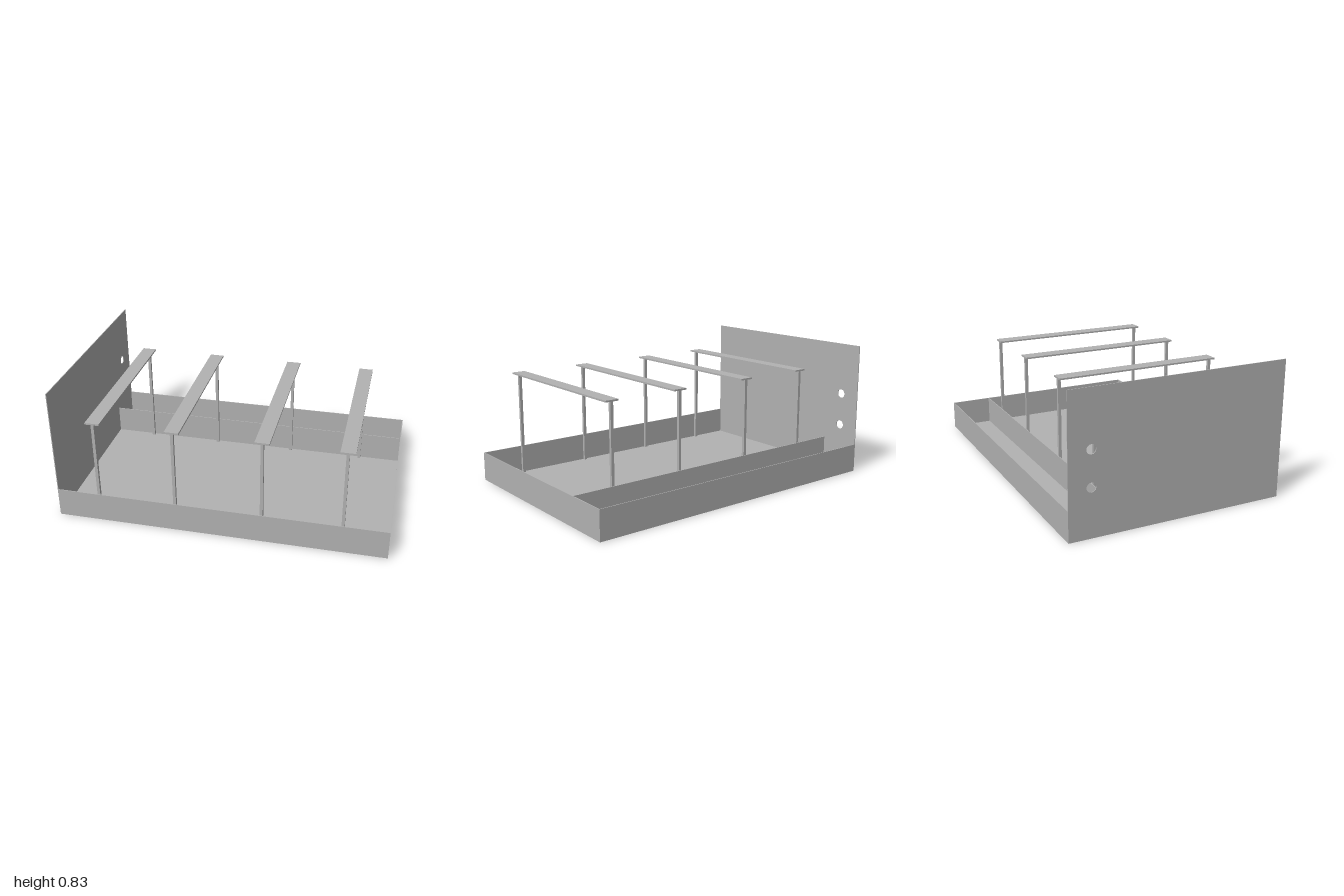
import * as THREE from 'three';

export function createModel() {
  const model = new THREE.Group();
  const grey = new THREE.MeshStandardMaterial({ color: 0xb2b2b2 });
  grey.name = 'plain grey';

  const W = 2, D = 1.33, H = 0.18, T = 0.005; // tray size and sheet thickness
  const dividerZ = -0.4;

  // Box given by its lower and upper corners
  function box(name, parent, [x0, y0, z0], [x1, y1, z1]) {
    const mesh = new THREE.Mesh(new THREE.BoxGeometry(x1 - x0, y1 - y0, z1 - z0), grey);
    mesh.position.set((x0 + x1) / 2, (y0 + y1) / 2, (z0 + z1) / 2);
    mesh.name = name;
    parent.add(mesh);
  }

  // Open tray with a divider near the back
  const tray = new THREE.Group();
  tray.name = 'tray';
  const x = W / 2, z = D / 2;
  box('floor', tray, [-x + T, 0, -z + T], [x - T, T, z - T]);
  box('frontWall', tray, [-x + T, 0, z - T], [x, H, z]);
  box('backWall', tray, [-x + T, 0, -z], [x, H, -z + T]);
  box('leftWall', tray, [x - T, 0, -z + T], [x, H, z - T]);
  box('divider', tray, [-x + T, T, dividerZ - T], [x - T, H, dividerZ]);
  model.add(tray);

  // Tall end panel with two round holes; shape x runs along -z
  const panel = new THREE.Shape();
  panel.moveTo(-z, 0).lineTo(z, 0).lineTo(z, 0.83).lineTo(-z, 0.83).closePath();
  for (const y of [0.29, 0.5]) {
    panel.holes.push(new THREE.Path().absarc(0.532, y, 0.028, 0, Math.PI * 2, true));
  }
  const endPanel = new THREE.Mesh(
    new THREE.ExtrudeGeometry(panel, { depth: T, bevelEnabled: false, curveSegments: 24 }), grey);
  endPanel.rotation.y = Math.PI / 2;
  endPanel.position.x = -x;
  endPanel.name = 'endPanel';
  model.add(endPanel);

  // Four slats, each carried by a front and a back post
  for (const cx of [-0.737, -0.263, 0.258, 0.732]) {
    const rail = new THREE.Group();
    rail.name = 'rail';
    box('slat', rail, [cx - 0.043, 0.66, dividerZ], [cx + 0.043, 0.67, z]);
    for (const cz of [-0.388, 0.65]) {
      box('post', rail, [cx - 0.009, T, cz - 0.009], [cx + 0.009, 0.66, cz + 0.009]);
    }
    model.add(rail);
  }
  return model;
}
